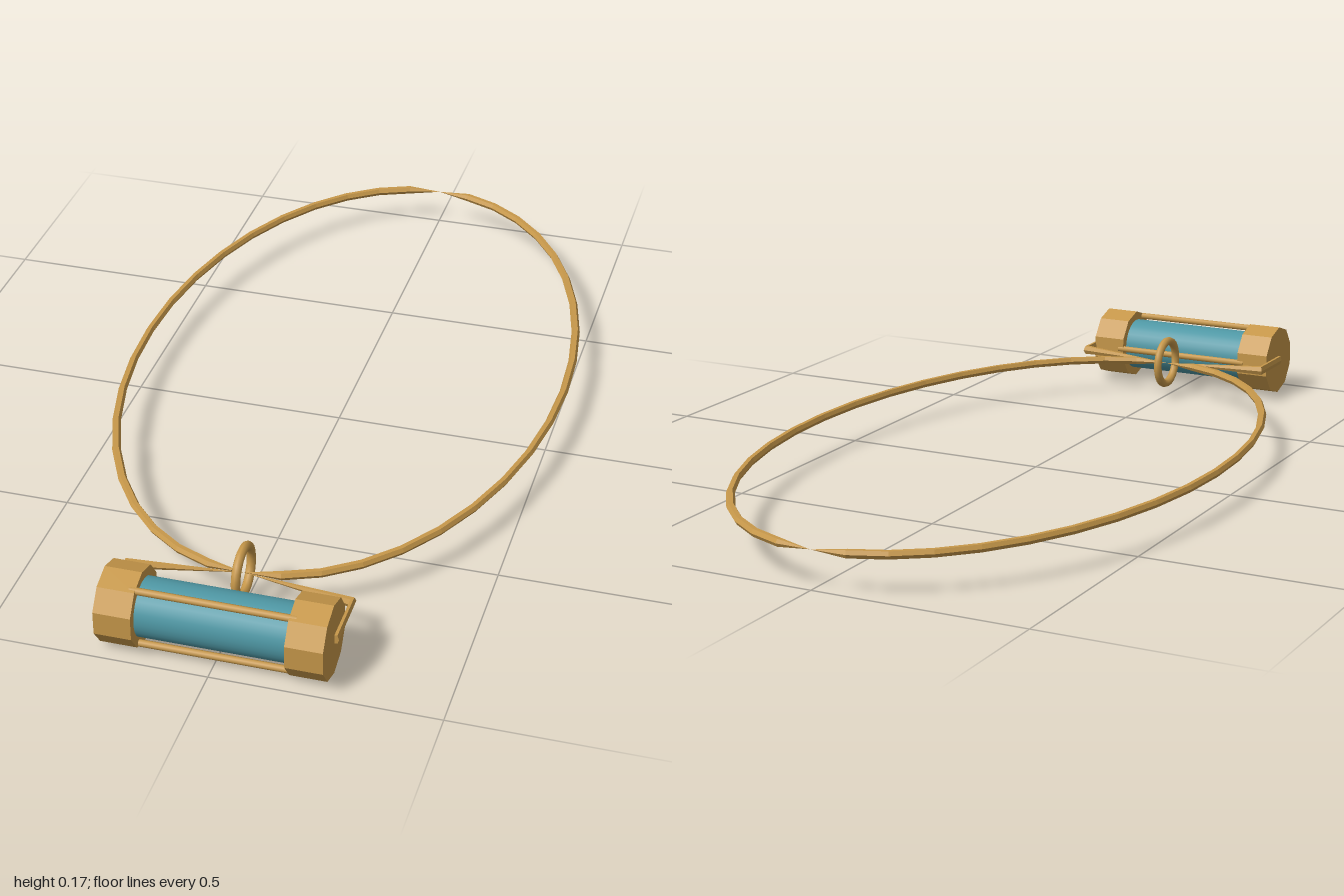
import * as THREE from 'three';

const gold = new THREE.MeshStandardMaterial({ color: 0xc7984a, flatShading: true });
const goldSmooth = new THREE.MeshStandardMaterial({ color: 0xc7984a });
const teal = new THREE.MeshStandardMaterial({ color: 0x4f98a5 });

const Y = 0.0875;     // height of the common axis
const VIAL_Z = 0.916; // centre of the vial

// Wire lying in a horizontal plane; each point is [x, z, half width, half height].
function wire(points, sides = 6) {
  const up = new THREE.Vector3(0, 1, 0);
  const rings = points.map(([x, z, w, h], i) => {
    const a = points[Math.max(i - 1, 0)];
    const b = points[Math.min(i + 1, points.length - 1)];
    const tangent = new THREE.Vector3(b[0] - a[0], 0, b[1] - a[1]).normalize();
    const side = new THREE.Vector3().crossVectors(up, tangent);
    return Array.from({ length: sides }, (_, j) => {
      const t = (j / sides) * Math.PI * 2;
      return new THREE.Vector3(x, Y, z)
        .addScaledVector(side, w * Math.cos(t))
        .addScaledVector(up, h * Math.sin(t));
    });
  });
  const corners = [];
  for (let i = 0; i < rings.length - 1; i++) {
    for (let j = 0; j < sides; j++) {
      const k = (j + 1) % sides;
      const [a, b, c, d] = [rings[i][j], rings[i][k], rings[i + 1][j], rings[i + 1][k]];
      corners.push(a, b, c, b, d, c);
    }
  }
  const geometry = new THREE.BufferGeometry().setFromPoints(corners);
  geometry.computeVertexNormals();
  return geometry;
}

function createModel() {
  const model = new THREE.Group();
  model.name = 'vialNecklace';

  const add = (name, geometry, material, x = 0, y = 0, z = 0) => {
    const mesh = new THREE.Mesh(geometry, material);
    mesh.name = name;
    mesh.position.set(x, y, z);
    model.add(mesh);
    return mesh;
  };

  // Glass tube between the caps
  add('glassTube', new THREE.CylinderGeometry(0.065, 0.065, 0.36, 32).rotateZ(Math.PI / 2), teal, 0, Y, VIAL_Z);

  // Three guard rods around the glass, one of them straight behind
  for (let i = 0; i < 3; i++) {
    const a = Math.PI + (i * Math.PI * 2) / 3;
    add('guardRod', new THREE.CylinderGeometry(0.008, 0.008, 0.36, 8).rotateZ(Math.PI / 2), goldSmooth,
      0, Y + 0.078 * Math.sin(a), VIAL_Z + 0.078 * Math.cos(a));
  }

  // Ten-sided end caps
  const cap = new THREE.CylinderGeometry(0.0875, 0.0875, 0.082, 10, 1, false, Math.PI / 2).rotateZ(Math.PI / 2);

  for (const s of [1, -1]) {
    const label = s > 0 ? 'left' : 'right';
    add(label + 'Cap', cap, gold, s * 0.206, Y, VIAL_Z);

    // Hanger wire: narrows to a point at the ring, bends and meets the cap
    add(label + 'Hanger', wire([
      [0, 0.75, 0, 0],
      [s * 0.25, 0.787, 0.011, 0.012],
      [s * 0.25, 0.915, 0.007, 0.012],
      [s * 0.25, 0.915, 0, 0],
    ]), gold);

    // Half of the oval neck loop, pointed at both ends
    const half = [];
    for (let i = 0; i <= 20; i++) {
      const a = (i / 20) * Math.PI;
      const r = i === 0 || i === 20 ? 0 : 0.01;
      half.push([s * 0.515 * Math.sin(a), -0.125 + 0.875 * Math.cos(a), r, r]);
    }
    add(label + 'NeckLoop', wire(half), gold);
  }

  // Ring joining loop and hanger
  add('joiningRing', new THREE.TorusGeometry(0.056, 0.0105, 8, 24).rotateY(Math.PI / 2), goldSmooth, 0, 0.09, 0.75);

  return model;
}

export { createModel };
